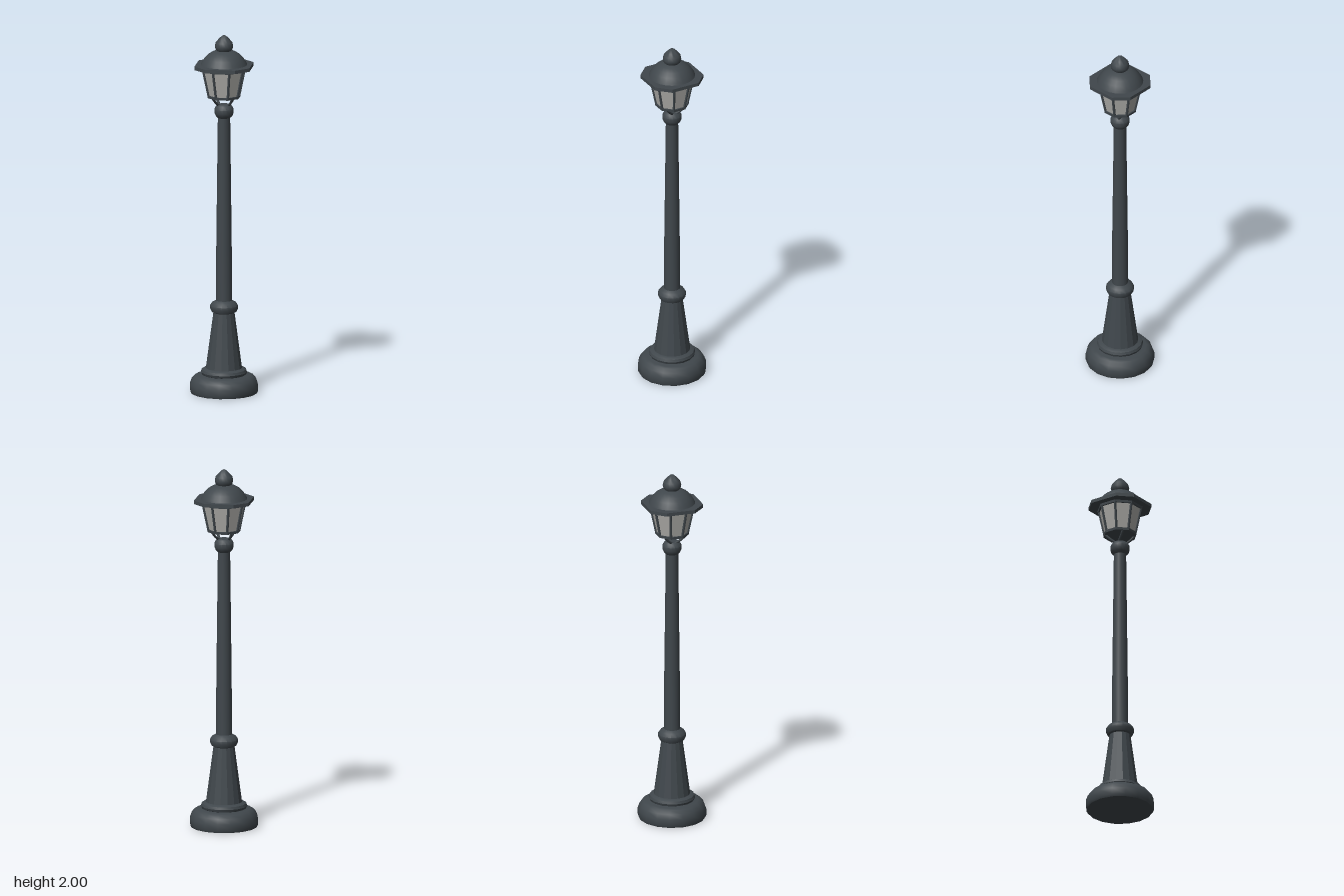
import * as THREE from 'three';
import { toCreasedNormals } from 'three/addons/utils/BufferGeometryUtils.js';

const iron = new THREE.MeshStandardMaterial({ color: 0x40474c });
iron.name = 'dark iron';
const glass = new THREE.MeshStandardMaterial({ color: 0xb0afab });
glass.name = 'frosted glass';

export function createModel() {
  const model = new THREE.Group();
  model.name = 'streetLamp';

  const add = (name, geometry, material = iron, parent = model) => {
    const mesh = new THREE.Mesh(geometry, material);
    mesh.name = name;
    parent.add(mesh);
    return mesh;
  };
  // Turned part from [radius, height] pairs, listed bottom to top
  const turned = (name, profile, sides = 16, crease = 0.6) => {
    const points = profile.map(([r, y]) => new THREE.Vector2(r, y));
    return add(name, toCreasedNormals(new THREE.LatheGeometry(points, sides), crease));
  };
  // Octagonal frustum with a flat side facing the front; sizes are apothems
  const octagon = (name, top, bottom, y0, y1, material = iron) => {
    const k = 1 / Math.cos(Math.PI / 8);
    const g = new THREE.CylinderGeometry(top * k, bottom * k, y1 - y0, 8);
    g.rotateY(Math.PI / 8).translate(0, (y0 + y1) / 2, 0);
    return add(name, toCreasedNormals(g, 0.3), material);
  };
  // Straight bar between two points
  const bar = (name, a, b, radius, parent) => {
    const dir = b.clone().sub(a);
    const g = toCreasedNormals(new THREE.CylinderGeometry(radius, radius, dir.length(), 6), 0.5);
    const mesh = add(name, g, iron, parent);
    mesh.position.copy(a).lerp(b, 0.5);
    mesh.quaternion.setFromUnitVectors(new THREE.Vector3(0, 1, 0), dir.normalize());
  };

  // Base and post
  turned('base', [[0, 0], [0.182, 0], [0.188, 0.012], [0.188, 0.048], [0.178, 0.075],
    [0.162, 0.094], [0.145, 0.1], [0, 0.1]]);
  turned('baseRing', [[0.11, 0.098], [0.122, 0.103], [0.127, 0.116], [0.122, 0.13],
    [0.108, 0.138], [0, 0.138]]);
  turned('pedestal', [[0.1, 0.136], [0.058, 0.45]], 16, 0.3);
  turned('lowerCollar', [[0.055, 0.445], [0.068, 0.452], [0.077, 0.47], [0.077, 0.486],
    [0.066, 0.503], [0.044, 0.515]]);
  turned('column', [[0.044, 0.5], [0.043, 0.8], [0.034, 1.55]]);
  turned('upperCollar', [[0.033, 1.535], [0.046, 1.548], [0.053, 1.565], [0.053, 1.585],
    [0.044, 1.602], [0.034, 1.61], [0, 1.61]]);

  // Curved arms that carry the lantern
  const arms = new THREE.Group();
  arms.name = 'lanternArms';
  model.add(arms);
  for (const sx of [-1, 1]) {
    for (const sz of [-1, 1]) {
      const curve = new THREE.QuadraticBezierCurve3(
        new THREE.Vector3(sx * 0.024, 1.604, sz * 0.008),
        new THREE.Vector3(sx * 0.042, 1.62, sz * 0.034),
        new THREE.Vector3(sx * 0.054, 1.655, sz * 0.06));
      add('arm', new THREE.TubeGeometry(curve, 6, 0.007, 6), iron, arms);
    }
  }

  // Lantern body
  octagon('lanternFloor', 0.087, 0.085, 1.65, 1.664);
  octagon('lanternGlass', 0.109, 0.078, 1.66, 1.816, glass);
  octagon('lanternTopRail', 0.117, 0.115, 1.802, 1.82);
  const posts = new THREE.Group();
  posts.name = 'lanternPosts';
  model.add(posts);
  for (let i = 0; i < 8; i++) {
    const t = (i + 0.5) * Math.PI / 4;
    const corner = (apothem, y) => {
      const r = apothem / Math.cos(Math.PI / 8);
      return new THREE.Vector3(Math.sin(t) * r, y, Math.cos(t) * r);
    };
    bar('post', corner(0.079, 1.658), corner(0.11, 1.815), 0.0075, posts);
  }

  // Brim: a square plate with cut corners
  const w = 0.152, c = 0.082;
  const outline = new THREE.Shape([[c, -w], [w, -c], [w, c], [c, w], [-c, w], [-w, c],
    [-w, -c], [-c, -w]].map(([x, y]) => new THREE.Vector2(x, y)));
  const brim = new THREE.ExtrudeGeometry(outline, { depth: 0.019, bevelEnabled: false });
  brim.rotateX(-Math.PI / 2).translate(0, 1.815, 0);
  add('brim', brim);

  // Domed roof and finial
  turned('roof', [[0.129, 1.83], [0.122, 1.845], [0.108, 1.868], [0.088, 1.889],
    [0.064, 1.904], [0.036, 1.912], [0, 1.914]], 24, 0.8);
  turned('finial', [[0.034, 1.906], [0.046, 1.918], [0.051, 1.936], [0.046, 1.957],
    [0.03, 1.976], [0.014, 1.992], [0, 2]], 20, 0.8);

  return model;
}
